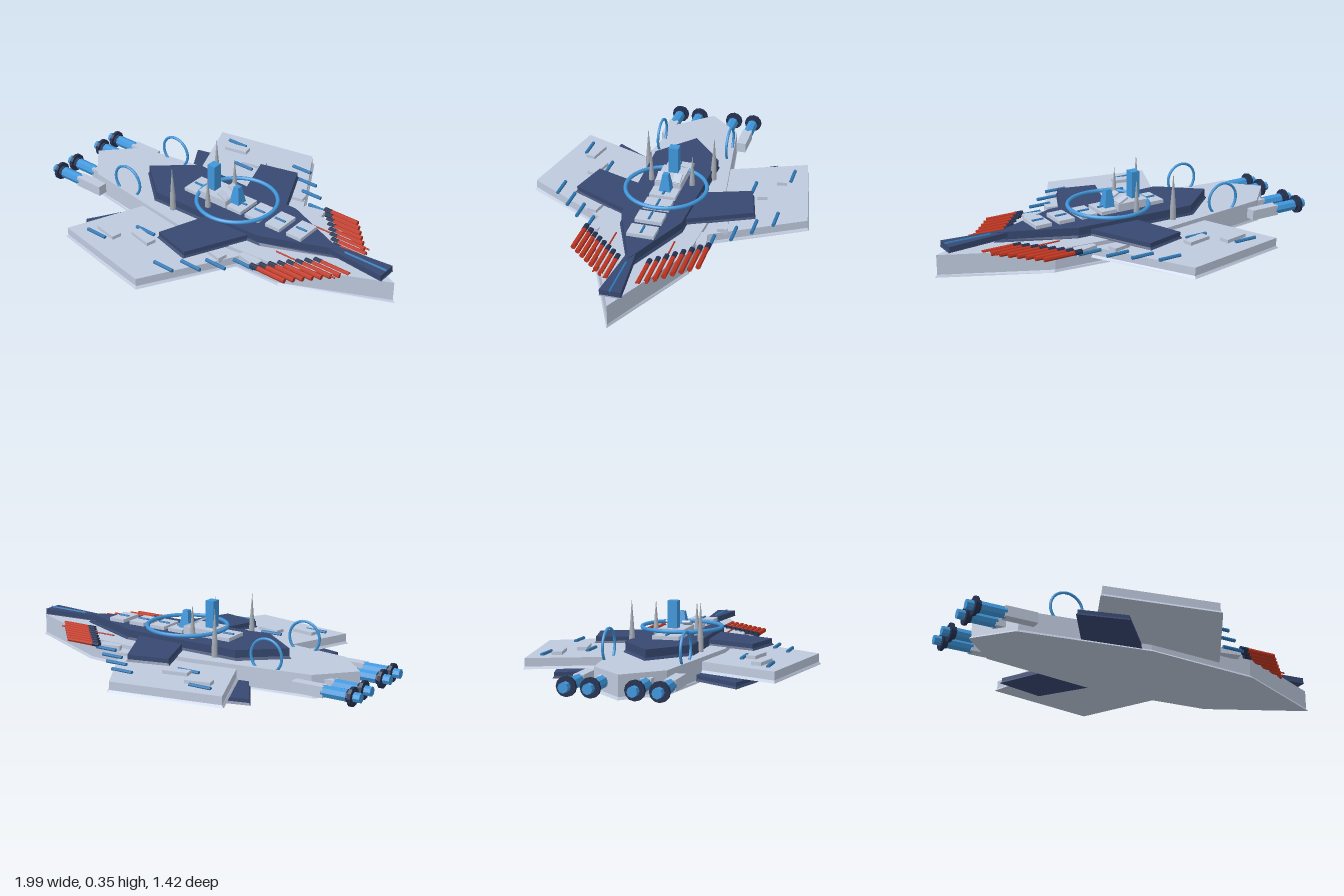
import * as THREE from 'three';

const mat = (name, color) => Object.assign(new THREE.MeshStandardMaterial({ color }), { name });

export function createModel() {
  const grey = mat('hull grey', 0xbfcade);
  const spikeGrey = mat('antenna grey', 0xa8aeb8);
  const navy = mat('deck navy', 0x374870);
  const dark = mat('dark navy', 0x253150);
  const blue = mat('bright blue', 0x3f97dc);
  const steel = mat('gun blue', 0x3079b6);
  const red = mat('missile red', 0xbe3622);
  const model = new THREE.Group();
  model.name = 'spaceship';

  const add = (name, geo, material, x = 0, y = 0, z = 0) => {
    const m = new THREE.Mesh(geo, material);
    m.name = name;
    m.position.set(x, y, z);
    model.add(m);
    return m;
  };
  const box = (name, material, x0, x1, y0, y1, z0, z1) =>
    add(name, new THREE.BoxGeometry(x1 - x0, y1 - y0, z1 - z0), material,
      (x0 + x1) / 2, (y0 + y1) / 2, (z0 + z1) / 2);
  // faceted cylinder lying along x, r0 at the rear and r1 at the front
  const rod = (name, material, x0, x1, y, z, r0, r1 = r0, sides = 8) => {
    const geo = new THREE.CylinderGeometry(r1, r0, x1 - x0, sides).rotateZ(-Math.PI / 2).toNonIndexed();
    geo.computeVertexNormals();
    return add(name, geo, material, (x0 + x1) / 2, y, z);
  };

  // flat prism from [x, z] points, with a small flared lip at its foot
  const plate = (name, material, pts, y0, y1, lip = 0.012) => {
    const shape = new THREE.Shape(pts.map(([x, z]) => new THREE.Vector2(x, -z)));
    const slab = (depth) => new THREE.ExtrudeGeometry(shape, { depth, bevelEnabled: false })
      .rotateX(-Math.PI / 2);
    add(name, slab(y1 - y0 - lip), material, 0, y0 + lip, 0);
    const foot = slab(lip), p = foot.attributes.position;
    const cx = pts.reduce((a, q) => a + q[0], 0) / pts.length;
    const cz = pts.reduce((a, q) => a + q[1], 0) / pts.length;
    for (let i = 0; i < p.count; i++) {
      if (p.getY(i) > lip / 2) continue;
      const dx = p.getX(i) - cx, dz = p.getZ(i) - cz, k = 1 + lip / Math.hypot(dx, dz);
      p.setXYZ(i, cx + dx * k, p.getY(i), cz + dz * k);
    }
    foot.computeVertexNormals();
    add(name + 'Lip', foot, material, 0, y0, 0);
  };
  // full outline from one half (ends lying on the centre line)
  const sym = (half) => [...half, ...half.filter(([, z]) => z > 0).reverse().map(([x, z]) => [x, -z])];

  // hull and upper deck
  plate('hull', grey, sym([[0.975, 0], [0.48, 0.228], [-0.09, 0.264], [-0.73, 0.17], [-0.89, 0]]), 0, 0.11);
  plate('deck', navy, sym([[0.67, 0], [0.31, 0.15], [-0.32, 0.168], [-0.52, 0]]), 0.11, 0.16);
  plate('bow', navy, [[0.62, -0.02], [0.93, -0.05], [0.93, 0.05], [0.62, 0.02]], 0.128, 0.157, 0.004);
  rod('bowGun', steel, 0.7, 0.93, 0.157, 0, 0.006);

  // deck panels, each with a small rail
  for (const x of [-0.18, 0.09, 0.2, 0.325, 0.45]) {
    box('deckPanel', grey, x - 0.043, x + 0.043, 0.16, 0.178, -0.066, 0.066);
    rod('panelRail', steel, x - 0.03, x + 0.03, 0.18, 0, 0.006);
  }

  // bridge and towers
  box('bridge', grey, -0.13, 0.04, 0.16, 0.2, -0.066, 0.066);
  box('tower', blue, -0.108, -0.063, 0.19, 0.335, -0.025, 0.025);
  const mast = new THREE.CylinderGeometry(0.02, 0.042, 0.09, 4).toNonIndexed().rotateY(Math.PI / 4);
  mast.computeVertexNormals();
  add('foreTower', mast, blue, 0.063, 0.22, 0);

  // halo ring over the deck
  add('haloRing', new THREE.TorusGeometry(0.2, 0.01, 8, 48).rotateX(Math.PI / 2), blue, 0.06, 0.187, 0);

  for (const s of [1, -1]) {
    const side = (pts) => pts.map(([x, z]) => [x, z * s]);

    // three wing layers
    plate('mainWing', grey, side([[-0.52, 0.6], [0.02, 0.7], [0.3, 0.22], [-0.35, 0.19]]), 0.038, 0.09);
    plate('lowerWing', navy, side([[-0.56, 0.435], [-0.33, 0.492], [-0.09, 0.19], [-0.4, 0.17]]), 0.01, 0.038, 0.01);
    plate('upperWing', navy, side([[-0.1, 0.4], [0.1, 0.45], [0.25, 0.14], [0.0, 0.12]]), 0.108, 0.14, 0.01);

    // tilted screens on the bridge
    const screen = box('tiltedScreen', grey, -0.02, 0.035, 0.206, 0.216, 0.042 * s - 0.02, 0.042 * s + 0.02);
    screen.rotation.z = -0.45;

    // hatches on the wings
    for (const [x, z, w] of [[-0.335, 0.5, 0.125], [-0.17, 0.435, 0.125], [0.19, 0.32, 0.09], [0.34, 0.255, 0.11]]) {
      const hatch = add('wingHatch', new THREE.BoxGeometry(w, 0.03, 0.05), grey, x, 0.092, z * s);
      hatch.rotation.y = -0.2 * s;
    }

    // wing guns
    for (const [x, z] of [[-0.43, 0.55], [0, 0.55], [-0.26, 0.385], [0.18, 0.385], [0.095, 0.465], [0.28, 0.302]]) {
      rod('gunBarrel', steel, x, x + 0.115, 0.095, z * s, 0.009);
    }

    // upright side rings
    add('sideRing', new THREE.TorusGeometry(0.082, 0.007, 8, 40), blue, -0.5, 0.165, 0.185 * s);

    // antenna spikes
    for (const [x, z, top] of [[-0.21, 0.172, 0.35], [-0.04, 0.105, 0.33]]) {
      add('antennaFoot', new THREE.CylinderGeometry(0.014, 0.016, 0.07, 8), spikeGrey, x, 0.145, z * s);
      add('antennaSpike', new THREE.ConeGeometry(0.014, top - 0.18, 8), spikeGrey, x, (top + 0.18) / 2, z * s);
    }

    // stepped missile rack
    for (let i = 0; i < 8; i++) {
      const x = 0.42 + i * 0.029, z = (0.3 - i * 0.032) * s;
      rod('missile', red, x, x + 0.155, 0.107, z, 0.0125);
      rod('missileTube', dark, x - 0.04, x, 0.107, z, 0.0135);
    }
    rod('missileNeedle', red, 0.41, 0.745, 0.112, 0.143 * s, 0.004);

    // engines
    for (const z of [0.1 * s, 0.21 * s]) {
      box('enginePylon', grey, -0.82, -0.66, 0.034, 0.086, z - 0.025, z + 0.025);
      rod('engineBody', blue, -0.94, -0.81, 0.06, z, 0.029);
      rod('engineBand', dark, -0.95, -0.935, 0.06, z, 0.032);
      rod('engineCollar', dark, -0.966, -0.95, 0.06, z, 0.046, 0.046, 12);
      rod('engineNozzle', blue, -1.0, -0.94, 0.06, z, 0.024);
    }
  }
  return model;
}
